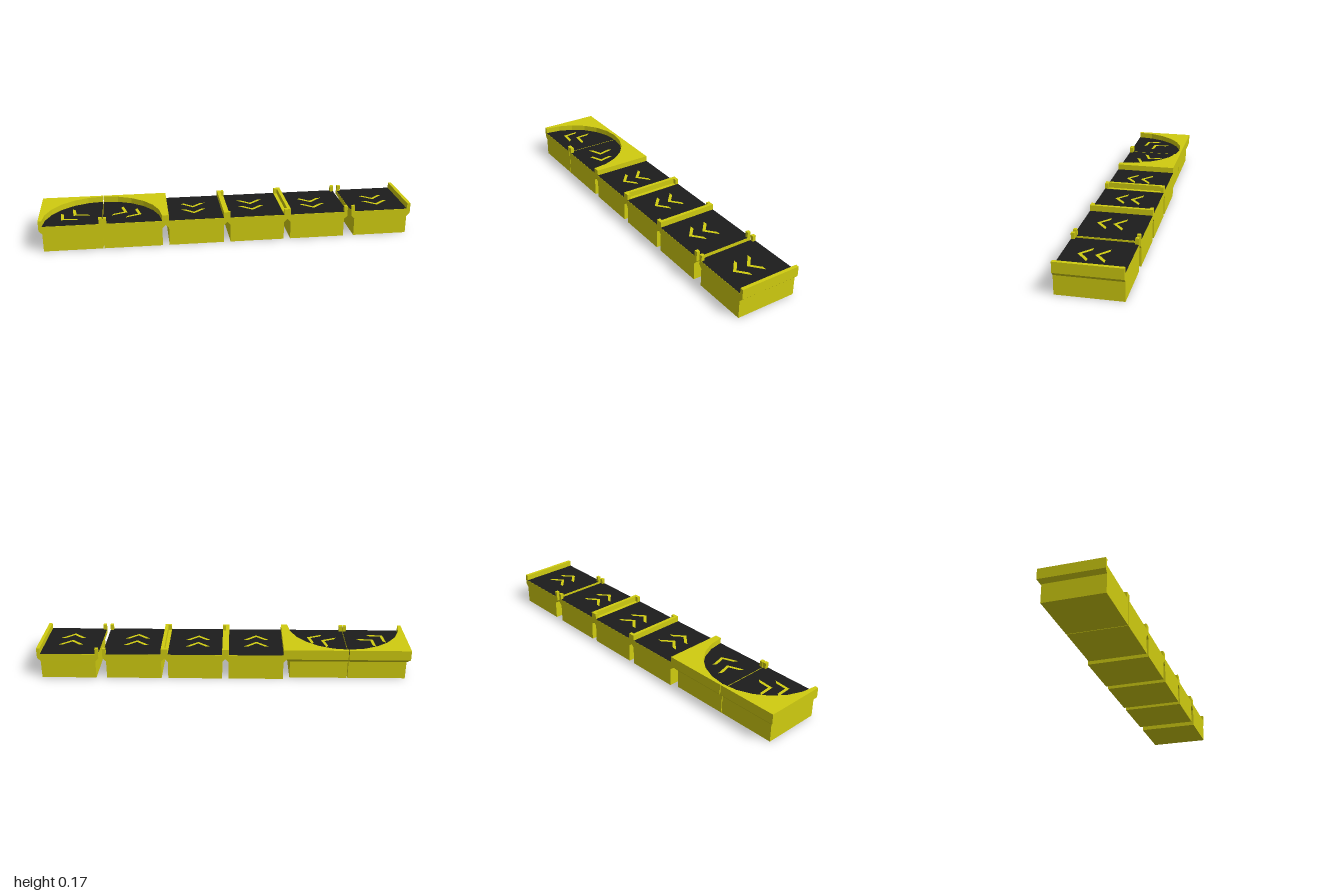
import * as THREE from 'three';

const yellow = new THREE.MeshStandardMaterial({ color: 0xd0cc10, flatShading: true });
const black = new THREE.MeshStandardMaterial({ color: 0x1c1c1c, flatShading: true });

const DECK = 0.14, TOP = 0.172, HALF = 0.165, LIP = 0.018;

function add(parent, name, geometry, material) {
  const mesh = new THREE.Mesh(geometry, material);
  mesh.name = name;
  parent.add(mesh);
  return mesh;
}

// Box given by its limits
function block(parent, name, x0, x1, y0, y1, z0, z1, material = yellow) {
  const g = new THREE.BoxGeometry(x1 - x0, y1 - y0, z1 - z0);
  g.translate((x0 + x1) / 2, (y0 + y1) / 2, (z0 + z1) / 2);
  return add(parent, name, g, material);
}

// Flat or extruded outline of [x, z] points lying on the ground plane
function slab(parent, name, points, y, depth, material) {
  const shape = new THREE.Shape(points.map(([x, z]) => new THREE.Vector2(x, -z)));
  const g = depth
    ? new THREE.ExtrudeGeometry(shape, { depth, bevelEnabled: false })
    : new THREE.ShapeGeometry(shape);
  g.rotateX(-Math.PI / 2).translate(0, y, 0);
  return add(parent, name, g, material);
}

// Tile base whose lower part steps in through a sloped band
function base(parent, x0, x1, left, right, back) {
  const levels = [0, 0.098, 0.117, DECK];
  const g = new THREE.BoxGeometry(1, 3, 1, 1, 3, 1);
  const p = g.attributes.position;
  for (let i = 0; i < p.count; i++) {
    const row = Math.round(p.getY(i) + 1.5);
    const k = row < 2 ? 1 : 0;
    p.setXYZ(i,
      p.getX(i) < 0 ? x0 + left * k : x1 - right * k,
      levels[row],
      p.getZ(i) < 0 ? -HALF + back * k : HALF);
  }
  const flat = g.toNonIndexed();
  flat.computeVertexNormals();
  add(parent, 'tileBase', flat, yellow);
}

// Direction arrow with its tip at (x, z), turned about the tip
function chevron(parent, x, z, angle = 0) {
  const m = slab(parent, 'chevron', [
    [-0.07, -0.06], [-0.045, -0.06], [0, -0.021], [0.045, -0.06], [0.07, -0.06], [0, 0],
  ], 0, 0, yellow);
  m.position.set(x, DECK + 0.0025, z);
  m.rotation.y = angle;
}

// One end of a straight tile: a full wall, or two posts with an optional sill
function tileEnd(parent, x, side, kind) {
  const a = Math.min(x, x - side * LIP), b = Math.max(x, x - side * LIP);
  if (kind === 'wall') {
    block(parent, 'endWall', a, b, DECK, TOP, -HALF, HALF);
    return;
  }
  for (const s of [-1, 1]) {
    const z = s * (HALF - 0.009);
    block(parent, 'endPost', a, b, DECK, TOP, z - 0.009, z + 0.009);
  }
  if (kind === 'sill') block(parent, 'sill', a, b, DECK, DECK + 0.003, -HALF + 0.018, HALF - 0.018);
}

function straightTile(x0, x1, leftKind, rightKind, arrowX, arrowZ) {
  const tile = new THREE.Group();
  tile.name = 'straightTile';
  base(tile, x0, x1, LIP, LIP, 0);
  tileEnd(tile, x0, -1, leftKind);
  tileEnd(tile, x1, 1, rightKind);
  const a = x0 + (leftKind === 'posts' ? 0 : LIP), b = x1 - (rightKind === 'posts' ? 0 : LIP);
  slab(tile, 'belt', [[a, -HALF], [b, -HALF], [b, HALF], [a, HALF]], DECK + 0.001, 0, black);
  for (const dz of [0, 0.083]) chevron(tile, arrowX, arrowZ + dz);
  return tile;
}

// Half of the turn: quarter-round belt inside a raised corner rim
function cornerTile(side) {
  const tile = new THREE.Group();
  tile.name = side < 0 ? 'cornerTileRight' : 'cornerTileLeft';
  const cx = -0.67, inner = cx + side * 0.002, outer = cx + side * 0.33;
  base(tile, Math.min(inner, outer), Math.max(inner, outer),
    side < 0 ? LIP : 0, side > 0 ? LIP : 0, LIP);
  const arc = [];
  for (let i = 0; i <= 6; i++) {
    const t = (i / 6) * Math.PI / 2;
    arc.push([i === 6 ? inner : cx + side * 0.312 * Math.cos(t), HALF - 0.315 * Math.sin(t)]);
  }
  slab(tile, 'cornerRim', [...arc, [inner, -HALF], [outer, -HALF], [outer, HALF]],
    DECK, TOP - DECK, yellow);
  slab(tile, 'belt', [...arc, [inner, HALF]], DECK + 0.001, 0, black);
  const end = cx + side * 0.02;
  block(tile, 'innerPost', Math.min(inner, end), Math.max(inner, end), DECK, TOP, HALF - 0.02, HALF);
  return tile;
}

export function createModel() {
  const model = new THREE.Group();
  model.name = 'conveyorSet';

  const right = cornerTile(-1), left = cornerTile(1);
  chevron(right, -0.826, 0.038, -Math.PI / 4);
  chevron(right, -0.887, 0.092, -Math.PI / 4);
  chevron(left, -0.538, 0.025, 1.1);
  chevron(left, -0.463, 0.062, 1.1);

  model.add(
    right, left,
    straightTile(-0.34, -0.011, 'wall', 'wall', -0.18, 0),
    straightTile(-0.011, 0.316, 'sill', 'sill', 0.14, -0.007),
    straightTile(0.316, 0.648, 'wall', 'posts', 0.478, 0.008),
    straightTile(0.67, 1, 'posts', 'wall', 0.836, 0.008),
  );
  return model;
}
